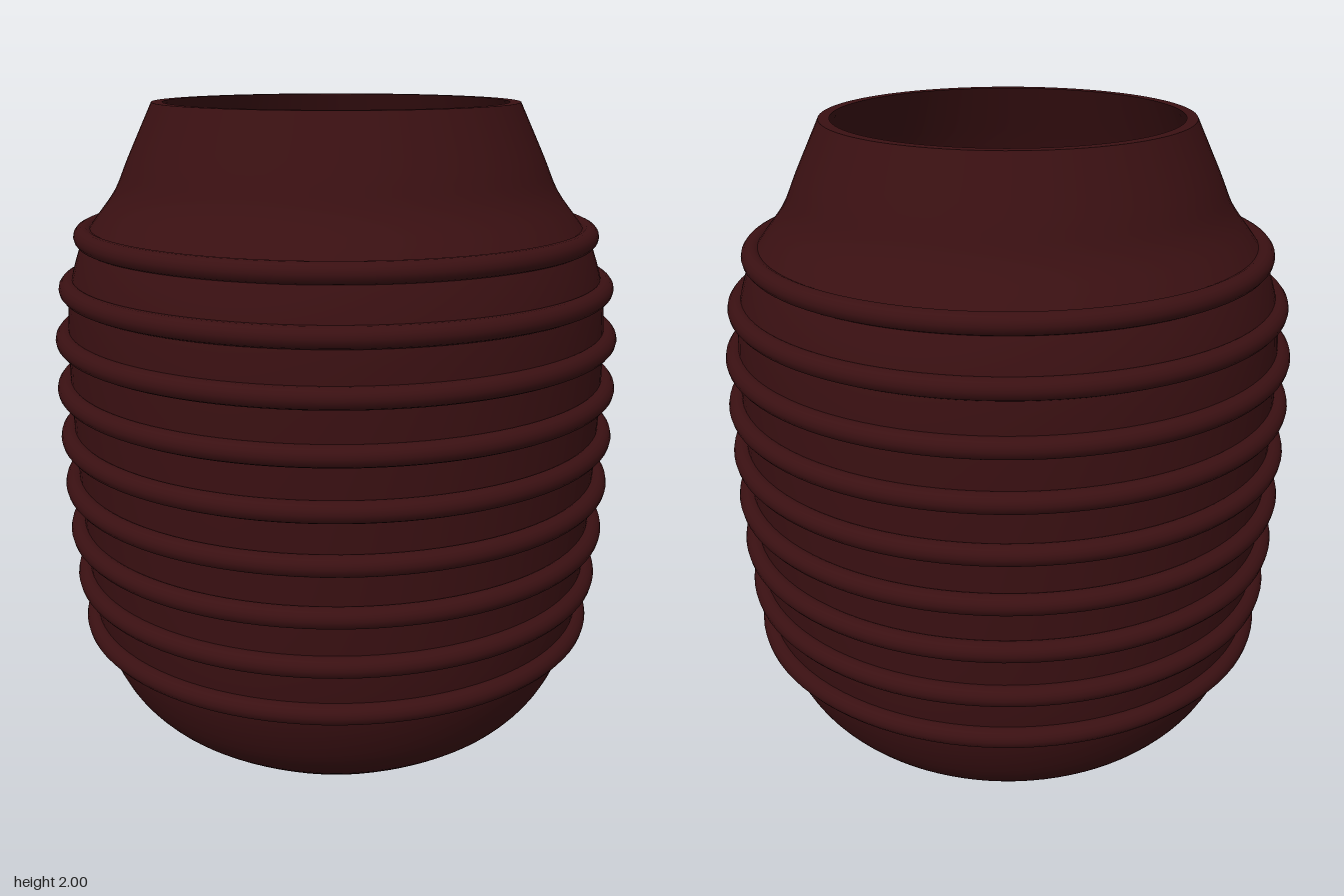
import * as THREE from 'three';

const v = ([x, y]) => new THREE.Vector2(x, y);

export function createModel() {
  const group = new THREE.Group();
  group.name = 'ribbedVase';
  const maroon = new THREE.MeshStandardMaterial({ color: 0x3a1012 });
  maroon.name = 'dark maroon';

  const add = (name, geometry, y = 0) => {
    const mesh = new THREE.Mesh(geometry, maroon);
    mesh.name = name;
    mesh.position.y = y;
    group.add(mesh);
    return mesh;
  };
  const lathe = (points) => new THREE.LatheGeometry(points, 96);

  // Silhouette of the wall, foot to lip, as [radius, height]
  const outer = new THREE.SplineCurve([
    [0.51, 0], [0.6, 0.06], [0.66, 0.11], [0.715, 0.18], [0.762, 0.28],
    [0.788, 0.38], [0.805, 0.52], [0.82, 0.75], [0.831, 1.0], [0.835, 1.2],
    [0.832, 1.35], [0.818, 1.47], [0.78, 1.59], [0.742, 1.65], [0.675, 1.74],
    [0.63, 1.84], [0.555, 2],
  ].map(v)).getPoints(64);
  add('outerWall', lathe(outer));

  // Inside of the wall, lip down to floor
  const inner = new THREE.SplineCurve([
    [0.522, 2], [0.595, 1.84], [0.64, 1.74], [0.705, 1.65], [0.745, 1.58],
    [0.785, 1.46], [0.8, 1.3], [0.798, 1.0], [0.785, 0.7], [0.755, 0.38],
    [0.68, 0.19], [0.59, 0.09], [0.49, 0.04],
  ].map(v)).getPoints(52);
  add('innerWall', lathe(inner));

  // Flat lip, inside floor and underside
  add('lip', lathe([[0.555, 2], [0.522, 2]].map(v)));
  const disc = (radius, tilt) => new THREE.CircleGeometry(radius, 96).rotateX(tilt);
  add('floor', disc(0.49, -Math.PI / 2), 0.04);
  add('underside', disc(0.51, Math.PI / 2));

  // Raised round ribs, bottom to top
  const ribRadius = 0.031;
  [0.828, 0.847, 0.861, 0.869, 0.874, 0.876, 0.873, 0.855, 0.803].forEach((reach, i) => {
    const rib = new THREE.TorusGeometry(reach - ribRadius, ribRadius, 14, 96).rotateX(Math.PI / 2);
    add(`rib${i + 1}`, rib, 0.375 + i * 0.1545);
  });

  return group;
}
